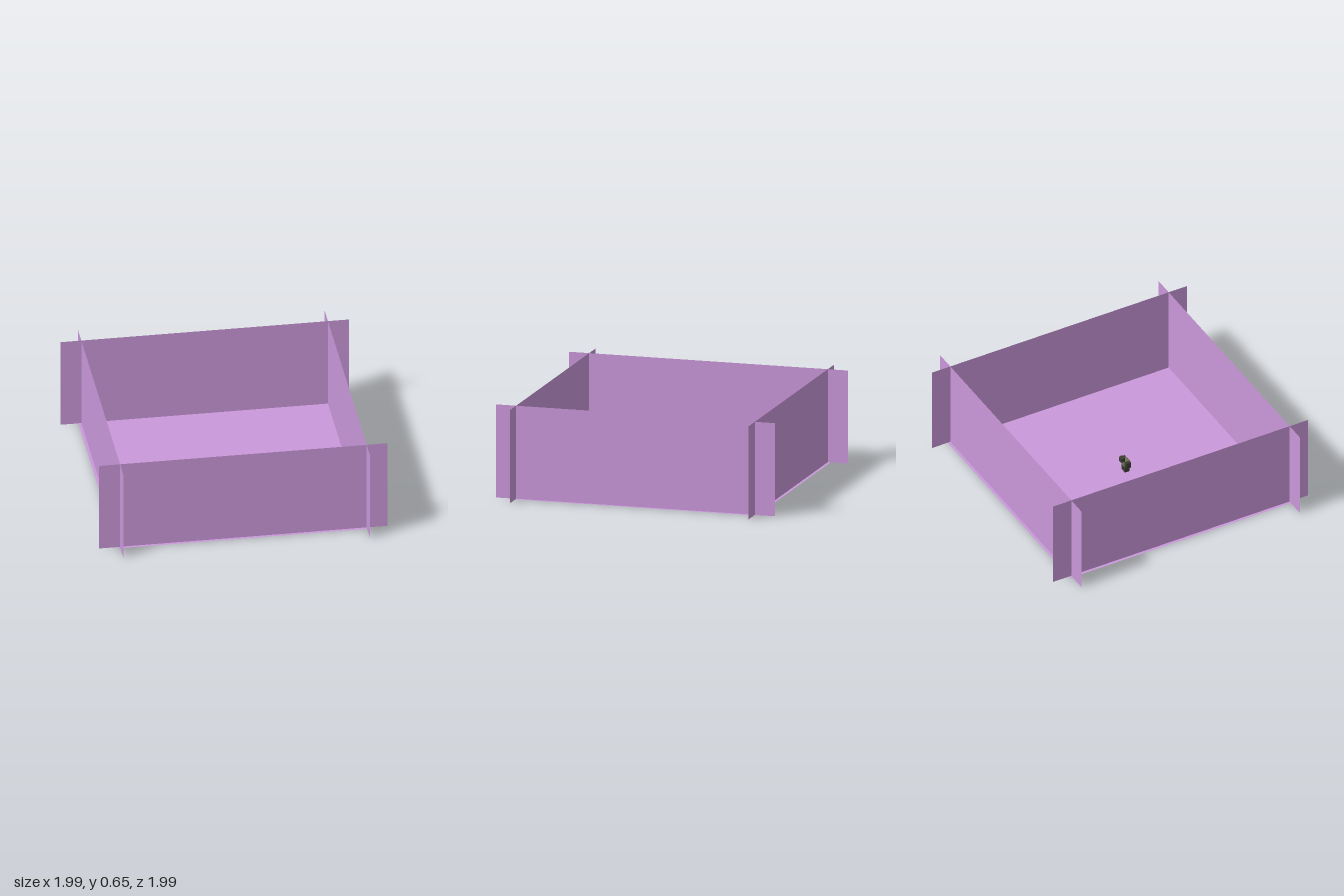
import * as THREE from 'three';

const HALF = 0.994;   // half length of a wall
const INSET = 0.85;   // distance of a wall from the centre
const HEIGHT = 0.65;
const FLOOR = 0.87;   // half width of the floor

const panel = new THREE.MeshStandardMaterial({ color: 0xcb98db, side: THREE.DoubleSide });
const dark = new THREE.MeshStandardMaterial({ color: 0x3c3c34 });
const olive = new THREE.MeshStandardMaterial({ color: 0x6b7050 });

function add(parent, name, geometry, material, x, y, z) {
  const mesh = new THREE.Mesh(geometry, material);
  mesh.name = name;
  mesh.position.set(x, y, z);
  parent.add(mesh);
  return mesh;
}

// Tiny blocky figure standing in the middle of the floor
function createFigure() {
  const figure = new THREE.Group();
  figure.name = 'figure';
  const limb = new THREE.BoxGeometry(0.022, 0.045, 0.036);
  add(figure, 'torso', new THREE.BoxGeometry(0.046, 0.046, 0.04), olive, 0, 0.068, 0);
  for (const s of [-1, 1]) {
    add(figure, s > 0 ? 'leftArm' : 'rightArm', limb, dark, s * 0.035, 0.068, 0);
    add(figure, s > 0 ? 'leftLeg' : 'rightLeg', limb, dark, s * 0.0118, 0.0225, 0);
  }
  add(figure, 'head', new THREE.CylinderGeometry(0.021, 0.021, 0.028, 12), dark, 0, 0.105, -0.027);
  figure.position.set(-0.003, 0.001, 0.042);
  return figure;
}

export function createModel() {
  const model = new THREE.Group();
  model.name = 'openTray';

  // Floor sheet, reaching a little past the walls
  const floor = add(model, 'floor', new THREE.PlaneGeometry(2 * FLOOR, 2 * FLOOR), panel, 0, 0.001, 0);
  floor.rotation.x = -Math.PI / 2;

  // Four thin walls that cross near their ends
  const wallGeometry = new THREE.PlaneGeometry(2 * HALF, HEIGHT);
  ['frontWall', 'leftWall', 'backWall', 'rightWall'].forEach((name, i) => {
    const angle = i * Math.PI / 2;
    const wall = add(model, name, wallGeometry, panel,
      Math.sin(angle) * INSET, HEIGHT / 2, Math.cos(angle) * INSET);
    wall.rotation.y = angle;
  });

  model.add(createFigure());
  return model;
}
